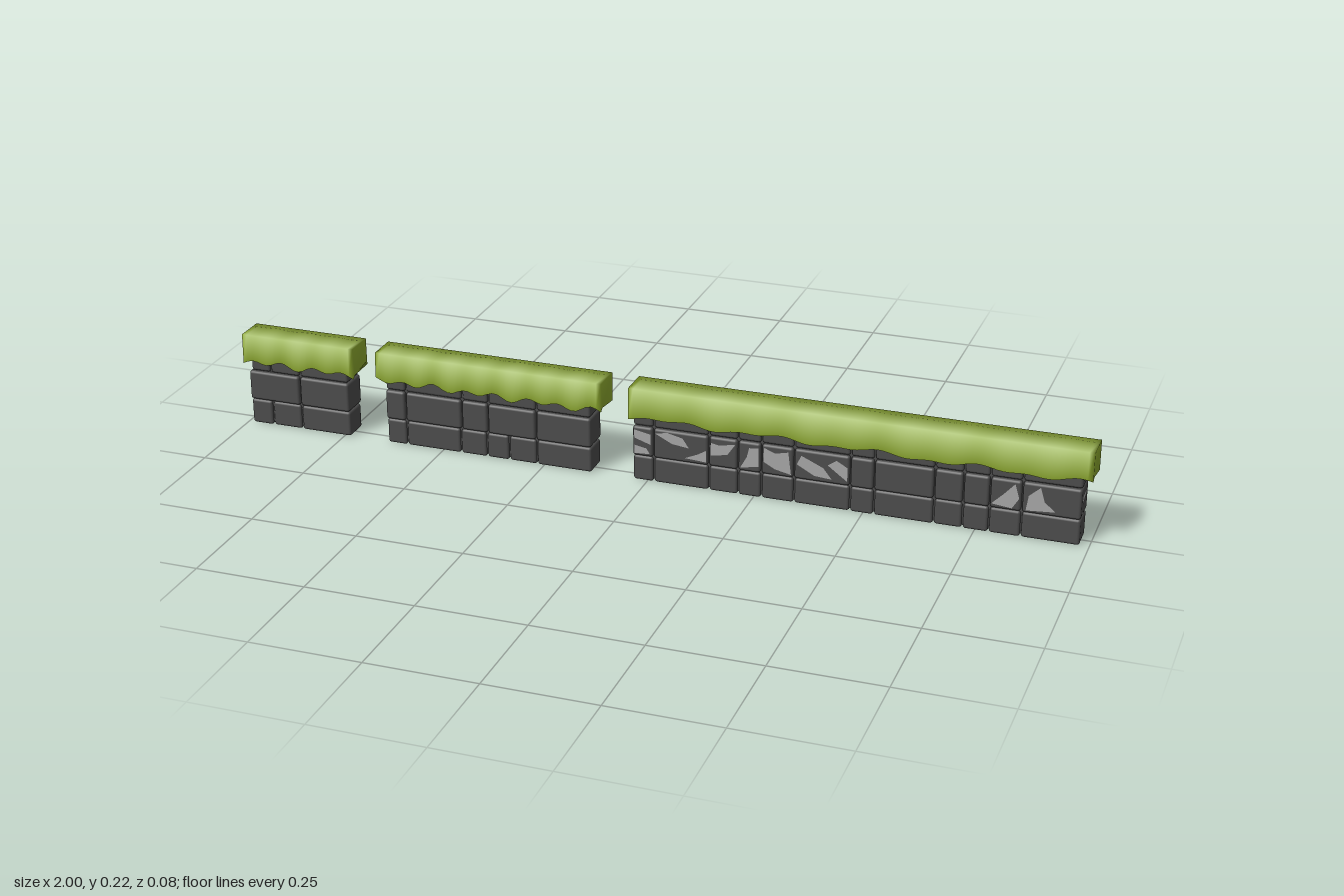
import * as THREE from 'three';
import { RoundedBoxGeometry } from 'three/addons/geometries/RoundedBoxGeometry.js';

const stone = new THREE.MeshStandardMaterial({ color: 0x4c4c4c });
const paleStone = new THREE.MeshStandardMaterial({ color: 0xa6a6a6, side: THREE.DoubleSide });
const moss = new THREE.MeshStandardMaterial({ color: 0x8ca82e, side: THREE.DoubleSide });

let seed = 7;
const rand = () => (seed = (seed * 16807) % 2147483647) / 2147483647;

function add(parent, name, geometry, material) {
  const mesh = new THREE.Mesh(geometry, material);
  mesh.name = name;
  parent.add(mesh);
  return mesh;
}

// One course of rounded stones between the given joints
function course(parent, name, joints, y0, y1, halfDepth) {
  for (let i = 0; i < joints.length - 1; i++) {
    const w = joints[i + 1] - joints[i] - 0.003;
    const d = 2 * halfDepth - 0.003 * rand();
    const brick = add(parent, name, new RoundedBoxGeometry(w, y1 - y0, d, 2, 0.006), stone);
    brick.position.set((joints[i] + joints[i + 1]) / 2, (y0 + y1) / 2, 0);
  }
}

// Moss cap: box-like cross-sections swept along x with a wavy lower hem
function mossCap(x0, x1, hem, openStart) {
  const pos = [], index = [], N = Math.round((x1 - x0) / 0.012), R = 6;
  for (let i = 0; i <= N; i++) {
    const x = x0 + ((x1 - x0) * i) / N;
    const f = hem(x), b = hem(x + 0.03);
    const ring = [[0.029, f + 0.008], [0.038, f], [0.037, 0.226], [-0.036, 0.226], [-0.038, b], [-0.029, b + 0.008]];
    for (const [z, y] of ring) pos.push(x, y, z);
  }
  for (let i = 0; i < N; i++) {
    for (let j = 0; j < R; j++) {
      const a = i * R + j, d = i * R + ((j + 1) % R);
      index.push(a, a + R, d + R, a, d + R, d);
    }
  }
  // End faces
  for (let j = 1; j < R - 1; j++) {
    const e = N * R;
    if (!openStart) index.push(0, j, j + 1);
    index.push(e, e + j + 1, e + j);
  }
  const geometry = new THREE.BufferGeometry();
  geometry.setAttribute('position', new THREE.Float32BufferAttribute(pos, 3));
  geometry.setIndex(index);
  geometry.computeVertexNormals();
  return geometry;
}

// Pale worn area, a flat polygon
function patchGeometry(points) {
  return new THREE.ShapeGeometry(new THREE.Shape(points.map(([x, y]) => new THREE.Vector2(x, y))));
}

const scallops = (x) => 0.159 + 0.006 * Math.sin(x * 82) + 0.003 * Math.sin(x * 47 + 1);
const gentleWaves = (x) => 0.156 + 0.004 * Math.sin(x * 27) + 0.003 * Math.sin(x * 58 + 2);

const longJoints = [-0.035, 0.015, 0.145, 0.213, 0.267, 0.342, 0.47, 0.524, 0.658, 0.722, 0.78, 0.85, 0.98];
const walls = [
  {
    name: 'shortWall', moss: [-1, -0.717], hem: scallops, openStart: true,
    bottom: [-0.99, -0.935, -0.86, -0.733], middle: [-0.99, -0.86, -0.733], top: [-0.985, -0.935, -0.86, -0.735],
  },
  {
    name: 'mediumWall', moss: [-0.66, -0.107], hem: scallops,
    bottom: [-0.64, -0.59, -0.455, -0.39, -0.335, -0.267, -0.133],
    middle: [-0.64, -0.59, -0.45, -0.385, -0.267, -0.133],
    top: [-0.64, -0.59, -0.45, -0.385, -0.267, -0.135],
  },
  {
    name: 'longWall', moss: [-0.043, 1], hem: gentleWaves,
    bottom: longJoints, middle: longJoints, top: longJoints,
  },
];

// Worn areas on the faces of the long wall, as x, y corners
const patches = [
  [[-0.03, 0.108], [0.01, 0.095], [0.01, 0.12], [-0.03, 0.128]],
  [[-0.03, 0.07], [0.008, 0.072], [0.0, 0.085], [-0.028, 0.09]],
  [[0.02, 0.125], [0.06, 0.105], [0.1, 0.1], [0.085, 0.122], [0.05, 0.13]],
  [[0.09, 0.075], [0.14, 0.072], [0.14, 0.1], [0.12, 0.088]],
  [[0.15, 0.09], [0.19, 0.098], [0.208, 0.125], [0.17, 0.118], [0.15, 0.122]],
  [[0.22, 0.072], [0.262, 0.08], [0.262, 0.125], [0.24, 0.122], [0.235, 0.1]],
  [[0.272, 0.095], [0.3, 0.08], [0.337, 0.072], [0.33, 0.125], [0.3, 0.118], [0.275, 0.128]],
  [[0.35, 0.1], [0.39, 0.078], [0.43, 0.075], [0.41, 0.1], [0.36, 0.122]],
  [[0.42, 0.108], [0.465, 0.075], [0.465, 0.108], [0.44, 0.122]],
  [[0.785, 0.075], [0.83, 0.07], [0.845, 0.095], [0.835, 0.128], [0.81, 0.1]],
  [[0.86, 0.07], [0.925, 0.075], [0.9, 0.095], [0.89, 0.128], [0.865, 0.105]],
];
// Worn areas on the two ends, as z, y corners
const endPatches = [
  [[-0.026, 0.095], [0.015, 0.108], [0.015, 0.121], [-0.026, 0.117]],
  [[-0.026, 0.086], [-0.01, 0.071], [-0.025, 0.073]],
];

export function createModel() {
  const model = new THREE.Group();
  for (const w of walls) {
    const wall = new THREE.Group();
    wall.name = w.name;
    model.add(wall);
    course(wall, 'bottomStone', w.bottom, 0.002, 0.062, 0.031);
    course(wall, 'middleStone', w.middle, 0.064, 0.135, 0.0355);
    course(wall, 'topStone', w.top, 0.136, 0.205, 0.0315);
    // Dark core filling the joints
    const x0 = w.bottom[0] + 0.008, x1 = w.bottom[w.bottom.length - 1] - 0.008;
    const core = add(wall, 'mortarCore', new THREE.BoxGeometry(x1 - x0, 0.19, 0.05), stone);
    core.position.set((x0 + x1) / 2, 0.103, 0);
    add(wall, 'mossCap', mossCap(w.moss[0], w.moss[1], w.hem, w.openStart), moss);
  }

  const longWall = model.getObjectByName('longWall');
  for (const p of patches) {
    for (const side of [1, -1]) {
      const corners = p.map(([x, y]) => [x * side, y]);
      const patch = add(longWall, 'wornPatch', patchGeometry(corners), paleStone);
      patch.position.z = 0.0362 * side;
      if (side < 0) patch.rotation.y = Math.PI;
    }
  }
  for (const p of endPatches) {
    for (const side of [1, -1]) {
      const patch = add(longWall, 'wornEndPatch', patchGeometry(p), paleStone);
      patch.rotation.y = (side * Math.PI) / 2;
      patch.position.x = side > 0 ? 0.9795 : -0.0345;
    }
  }
  return model;
}
